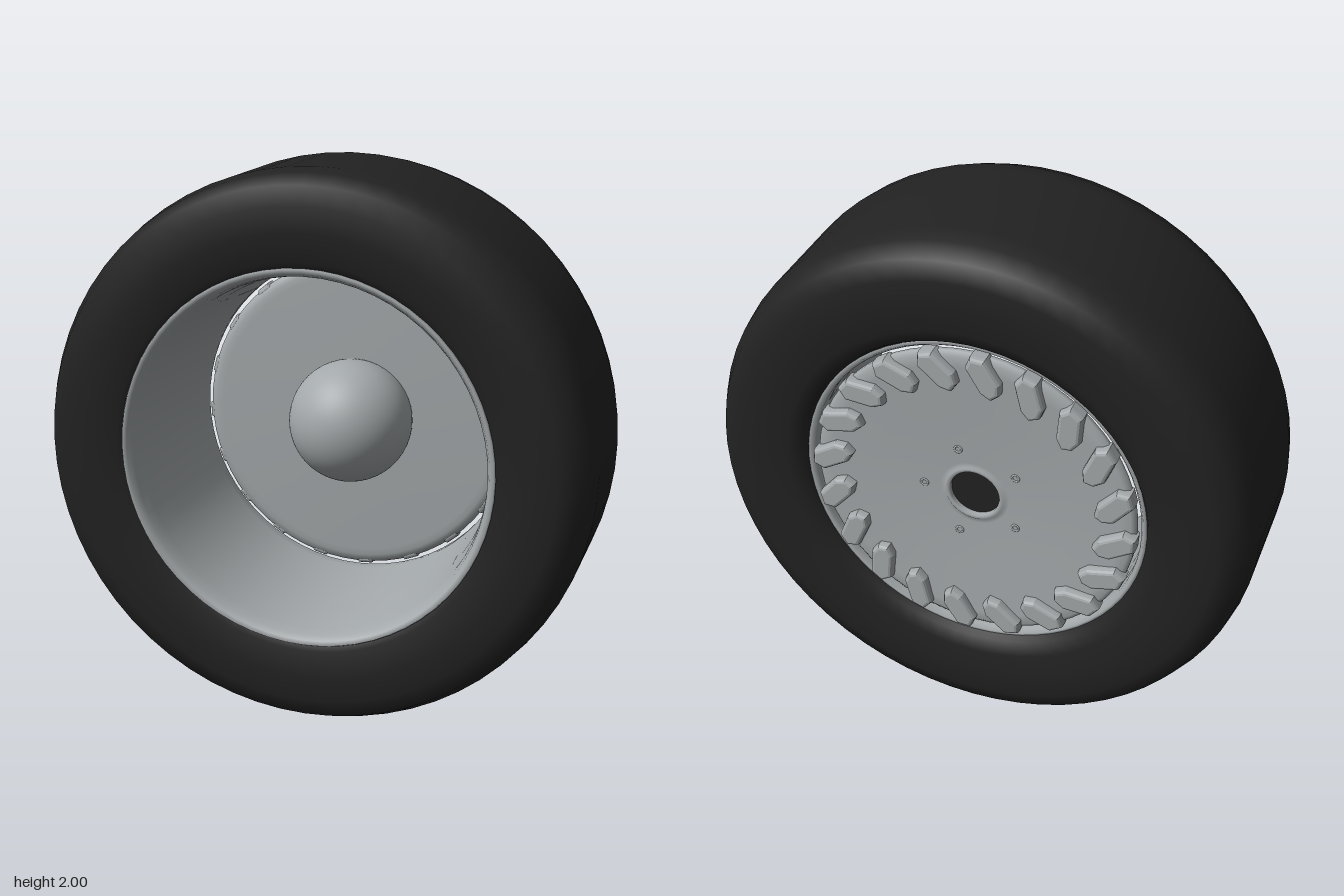
import * as THREE from 'three';

const SEGMENTS = 64;

// Revolve [radius, z] points around the wheel axle
function revolve(points, material, name) {
  const profile = points.map(([r, z]) => new THREE.Vector2(r, z));
  const geometry = new THREE.LatheGeometry(profile, SEGMENTS);
  geometry.rotateX(Math.PI / 2);
  const mesh = new THREE.Mesh(geometry, material);
  mesh.name = name;
  return mesh;
}

export function createModel() {
  const rubber = new THREE.MeshStandardMaterial({ color: 0x222222 });
  rubber.name = 'black rubber';
  const metal = new THREE.MeshStandardMaterial({ color: 0xa3a8aa });
  metal.name = 'grey metal';

  const wheel = new THREE.Group();
  wheel.name = 'wheel';

  // Tyre with rounded shoulders and a flat tread
  wheel.add(revolve([
    [0.63, -0.31], [0.65, -0.345], [0.70, -0.368], [0.80, -0.375], [0.89, -0.375],
    [0.955, -0.35], [0.988, -0.28], [1, -0.21], [1, 0], [1, 0.21],
    [0.988, 0.28], [0.955, 0.35], [0.89, 0.375], [0.80, 0.375], [0.70, 0.368], [0.665, 0.34],
  ], rubber, 'tyre'));

  // Deep barrel with a rolled front lip
  wheel.add(revolve([
    [0.612, -0.27], [0.614, -0.31], [0.625, -0.325], [0.64, -0.32], [0.65, -0.28],
    [0.655, 0.3], [0.67, 0.345], [0.68, 0.365], [0.675, 0.375], [0.66, 0.368],
    [0.648, 0.345], [0.64, 0.3], [0.628, 0.15], [0.618, -0.1], [0.612, -0.27],
  ], metal, 'rim'));

  // Slightly dished centre plate with an axle hole at the back
  wheel.add(revolve([
    [0.092, -0.275], [0.092, -0.304], [0.097, -0.31], [0.108, -0.31], [0.115, -0.304],
    [0.13, -0.303], [0.35, -0.312], [0.54, -0.325], [0.58, -0.324], [0.597, -0.312],
    [0.597, -0.295], [0.585, -0.281], [0.565, -0.276], [0.54, -0.274], [0.2, -0.265], [0, -0.265],
  ], metal, 'centrePlate'));

  const hole = new THREE.Mesh(new THREE.CircleGeometry(0.094, 40), rubber);
  hole.name = 'axleHole';
  hole.rotation.y = Math.PI;
  hole.position.z = -0.29;
  wheel.add(hole);

  // Ball-shaped hub cap
  const capGeometry = new THREE.SphereGeometry(0.232, 48, 28, 0, Math.PI * 2, 0, Math.PI * 0.61);
  capGeometry.rotateX(Math.PI / 2);
  const cap = new THREE.Mesh(capGeometry, metal);
  cap.name = 'hubCap';
  cap.position.z = -0.2;
  wheel.add(cap);

  // Five small bolt seats around the axle hole
  const boltGeometry = new THREE.TorusGeometry(0.013, 0.004, 8, 16);
  for (let i = 0; i < 5; i++) {
    const a = (i / 5) * Math.PI * 2;
    const bolt = new THREE.Mesh(boltGeometry, metal);
    bolt.name = 'boltSeat';
    bolt.position.set(0.19 * Math.cos(a), 0.19 * Math.sin(a), -0.305);
    wheel.add(bolt);
  }

  // Ring of twenty slanted cooling vanes
  const outline = new THREE.Shape([
    [-0.072, -0.012], [-0.045, -0.028], [0.05, -0.03], [0.07, -0.005],
    [0.05, 0.026], [-0.04, 0.03], [-0.068, 0.012],
  ].map(([x, y]) => new THREE.Vector2(x, y)));
  const vaneGeometry = new THREE.ExtrudeGeometry(outline, {
    depth: 0.03, bevelThickness: 0.022, bevelSize: 0.014, bevelSegments: 3,
  });
  for (let i = 0; i < 20; i++) {
    const holder = new THREE.Group();
    holder.name = 'coolingVane';
    holder.rotation.z = (i / 20) * Math.PI * 2 + 0.1;
    const vane = new THREE.Mesh(vaneGeometry, metal);
    vane.name = 'vane';
    vane.position.set(0.535, 0, -0.335);
    vane.rotation.z = -0.62;
    holder.add(vane);
    wheel.add(holder);
  }

  // Stand the wheel on the ground
  wheel.position.y = 1;
  const model = new THREE.Group();
  model.name = 'wheelModel';
  model.add(wheel);
  return model;
}
